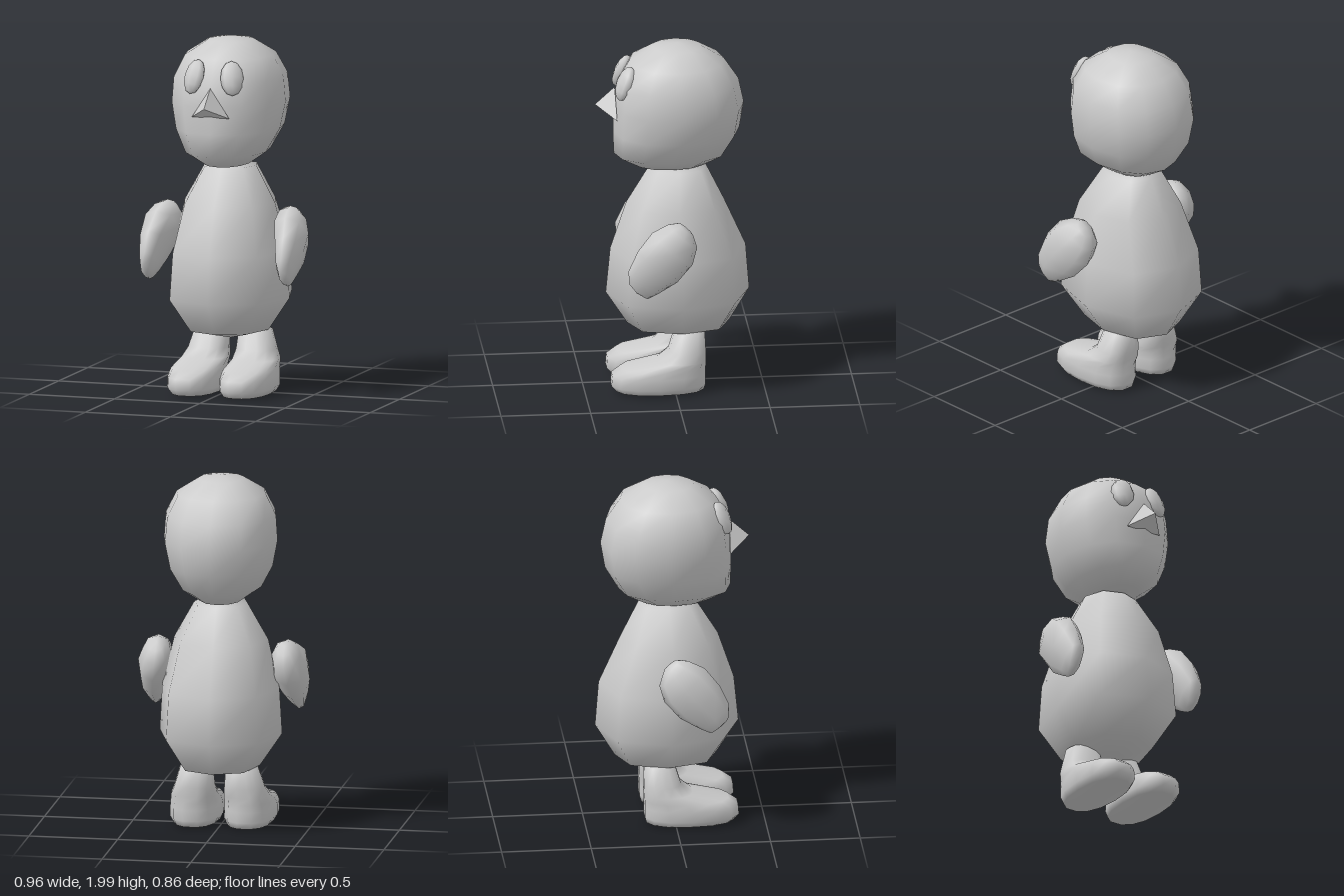
import * as THREE from 'three';

const material = new THREE.MeshStandardMaterial({ color: 0xcccccc });

// Smooth closed skin over rounded sections stacked in y.
// Section: [y, centre x, half width, front z, back z]; first and last are single poles.
function loft(name, sections, sides, power) {
  const pos = [], index = [];
  const soft = (c) => Math.sign(c) * Math.pow(Math.abs(c), 2 / power);
  const last = sections.length - 1;
  sections.forEach(([y, cx, rx, zf, zb], i) => {
    const cz = (zf + zb) / 2, rz = (zf - zb) / 2;
    if (i === 0 || i === last) { pos.push(cx, y, cz); return; }
    for (let j = 0; j < sides; j++) {
      const a = (j / sides) * Math.PI * 2;
      pos.push(cx + rx * soft(Math.cos(a)), y, cz + rz * soft(Math.sin(a)));
    }
  });
  const at = (i, j) => 1 + (i - 1) * sides + (j % sides);
  const top = pos.length / 3 - 1;
  for (let j = 0; j < sides; j++) {
    index.push(0, at(1, j), at(1, j + 1));
    for (let i = 1; i < last - 1; i++) {
      index.push(at(i, j), at(i + 1, j), at(i, j + 1));
      index.push(at(i, j + 1), at(i + 1, j), at(i + 1, j + 1));
    }
    index.push(at(last - 1, j), top, at(last - 1, j + 1));
  }
  const geo = new THREE.BufferGeometry();
  geo.setAttribute('position', new THREE.Float32BufferAttribute(pos, 3));
  geo.setIndex(index);
  geo.computeVertexNormals();
  const mesh = new THREE.Mesh(geo, material);
  mesh.name = name;
  return mesh;
}

export function createModel() {
  const model = new THREE.Group();
  model.name = 'bird';

  // Pear-shaped body
  model.add(loft('body', [
    [0.30, 0, 0, -0.03, -0.03],
    [0.355, 0, 0.22, 0.25, -0.32],
    [0.54, 0, 0.345, 0.37, -0.43],
    [0.80, 0, 0.33, 0.345, -0.41],
    [1.07, 0, 0.265, 0.255, -0.29],
    [1.275, 0, 0.15, 0.13, -0.19],
    [1.29, 0, 0, -0.03, -0.03],
  ], 8, 2.35));

  // Round head with a flattened face
  model.add(loft('head', [
    [1.275, 0, 0, 0, 0],
    [1.29, 0, 0.12, 0.20, -0.18],
    [1.36, 0, 0.22, 0.325, -0.30],
    [1.49, 0, 0.29, 0.33, -0.375],
    [1.64, 0, 0.32, 0.33, -0.40],
    [1.78, 0, 0.31, 0.31, -0.37],
    [1.90, 0, 0.25, 0.24, -0.29],
    [1.98, 0, 0.125, 0.11, -0.16],
    [2.0, 0, 0, -0.03, -0.03],
  ], 12, 2.2));

  // Three-sided beak
  const top = [0, 1.75, 0.32], tip = [0, 1.65, 0.43];
  const left = [0.11, 1.585, 0.315], right = [-0.11, 1.585, 0.315];
  const beakGeo = new THREE.BufferGeometry();
  beakGeo.setAttribute('position', new THREE.Float32BufferAttribute(
    [top, tip, left, top, right, tip, tip, right, left, top, left, right].flat(), 3));
  beakGeo.computeVertexNormals();
  const beak = new THREE.Mesh(beakGeo, material);
  beak.name = 'beak';
  model.add(beak);

  for (const s of [1, -1]) {
    const side = s > 0 ? 'left' : 'right';

    // Oval eye leaning back with the face
    const eye = new THREE.Mesh(new THREE.SphereGeometry(1, 8, 6), material);
    eye.name = side + 'Eye';
    eye.scale.set(0.065, 0.1, 0.042);
    eye.rotation.set(-0.4, s * 0.4, 0, 'YXZ');
    eye.position.set(s * 0.11, 1.805, 0.27);
    model.add(eye);

    // Flipper-like arm, swung forward
    const arm = loft(side + 'Arm', [
      [0.352, s * 0.405, 0, 0.62, 0.62],
      [0.366, s * 0.405, 0.032, 0.69, 0.55],
      [0.42, s * 0.40, 0.052, 0.74, 0.525],
      [0.54, s * 0.395, 0.08, 0.775, 0.485],
      [0.67, s * 0.378, 0.1, 0.78, 0.482],
      [0.76, s * 0.365, 0.08, 0.74, 0.525],
      [0.80, s * 0.36, 0.045, 0.70, 0.59],
      [0.81, s * 0.36, 0, 0.65, 0.65],
    ], 8, 2.2);
    arm.rotation.x = -0.72;
    model.add(arm);

    // Leg running into a long rounded foot
    model.add(loft(side + 'Leg', [
      [0.008, s * 0.15, 0, 0.09, 0.09],
      [0.015, s * 0.15, 0.125, 0.33, -0.165],
      [0.05, s * 0.152, 0.145, 0.36, -0.175],
      [0.11, s * 0.153, 0.143, 0.355, -0.175],
      [0.15, s * 0.152, 0.138, 0.30, -0.175],
      [0.19, s * 0.148, 0.13, 0.10, -0.175],
      [0.24, s * 0.14, 0.115, 0.035, -0.175],
      [0.35, s * 0.128, 0.093, 0.0, -0.17],
      [0.37, s * 0.125, 0, -0.085, -0.085],
    ], 14, 2.4));
  }
  return model;
}
